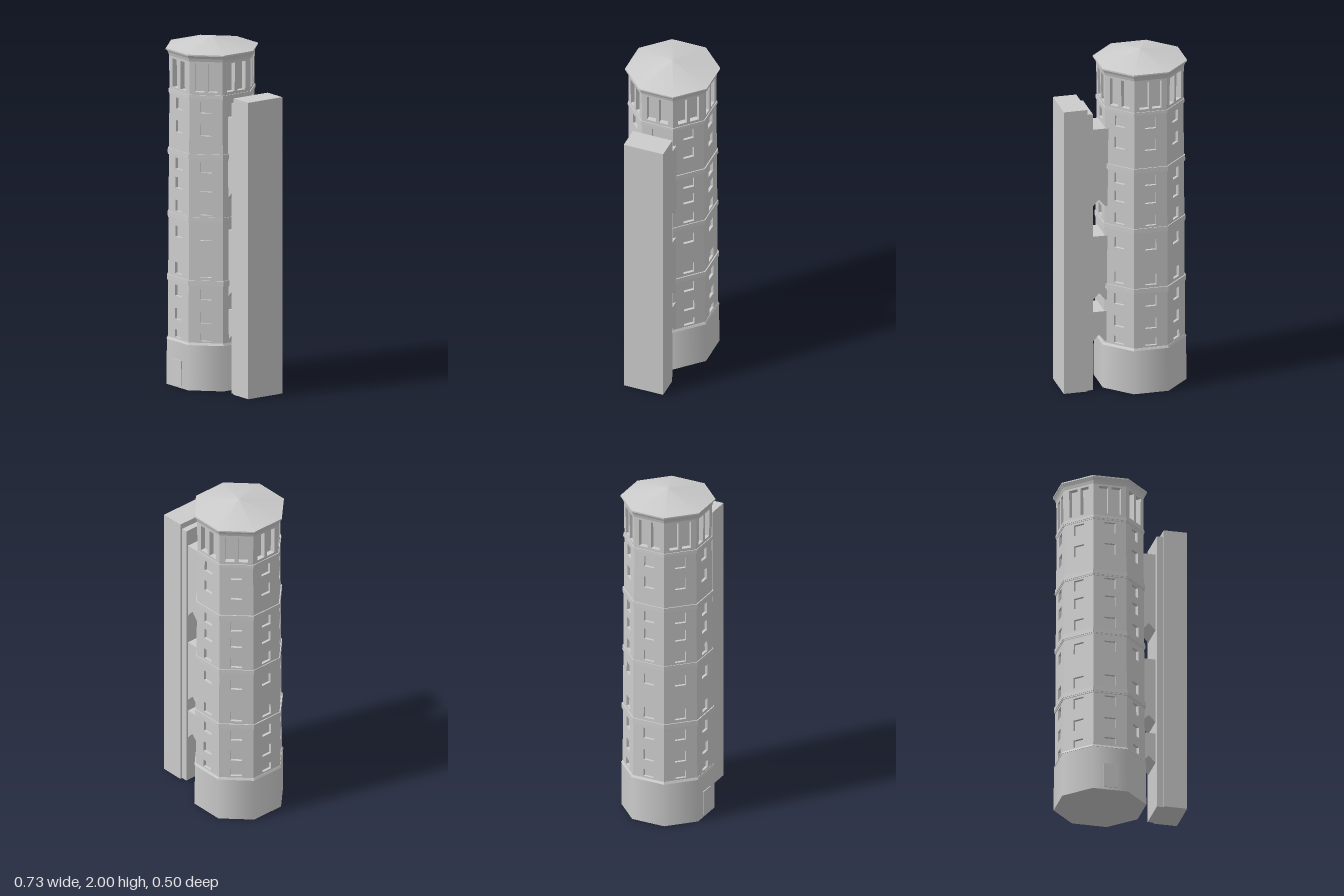
import * as THREE from 'three';

const stone = new THREE.MeshStandardMaterial({ color: 0xcccccc });
stone.name = 'pale grey stone';

const TAN = Math.tan(Math.PI / 8), COS = Math.cos(Math.PI / 8);
const CX = -0.118;

function add(parent, name, geometry) {
  const mesh = new THREE.Mesh(geometry, stone);
  mesh.name = name;
  parent.add(mesh);
  return mesh;
}

// Octagonal frustum; a0 and a1 are the flat-to-centre distances at y0 and y1
function octagon(y0, y1, a0, a1, smooth = false) {
  let g = new THREE.CylinderGeometry(a1 / COS, a0 / COS, y1 - y0, 8, 1, false, Math.PI / 8);
  if (!smooth) {
    g = g.toNonIndexed();
    g.computeVertexNormals();
  }
  return g.translate(0, (y0 + y1) / 2, 0);
}

// One tapered wall panel with rectangular openings [x, y0, y1, width]
function wallPanel(y0, y1, a0, a1, openings, depth) {
  const w0 = a0 * TAN, w1 = a1 * TAN;
  const rect = (Type, pts) => new Type(pts.map(([x, y]) => new THREE.Vector2(x, y)));
  const shape = rect(THREE.Shape, [[-w0, y0], [w0, y0], [w1, y1], [-w1, y1]]);
  for (const [x, b, t, w] of openings) {
    shape.holes.push(rect(THREE.Path, [[x - w / 2, b], [x - w / 2, t], [x + w / 2, t], [x + w / 2, b]]));
  }
  const g = new THREE.ExtrudeGeometry(shape, { depth, bevelEnabled: false });
  const p = g.attributes.position;
  for (let i = 0; i < p.count; i++) {
    const k = (p.getY(i) - y0) / (y1 - y0);
    p.setZ(i, p.getZ(i) - depth + a0 + (a1 - a0) * k);
  }
  g.computeVertexNormals();
  return g;
}

// A storey: eight panels around a recessed core
function storey(parent, name, y0, y1, a0, a1, openings, recess) {
  const group = new THREE.Group();
  group.name = name;
  parent.add(group);
  add(group, 'windowBacking', octagon(y0, y1, a0 - recess, a1 - recess));
  const panel = wallPanel(y0, y1, a0, a1, openings, recess + 0.004);
  for (let i = 0; i < 8; i++) add(group, 'wallPanel', panel).rotation.y = i * Math.PI / 4;
}

export function createModel() {
  const model = new THREE.Group();
  model.name = 'tower';
  const tower = new THREE.Group();
  tower.name = 'octagonalTower';
  tower.position.x = CX;
  model.add(tower);

  // Plinth and door
  add(tower, 'base', octagon(0, 0.262, 0.244, 0.242, true));
  add(tower, 'baseLedge', octagon(0.262, 0.275, 0.245, 0.239));
  add(tower, 'door', new THREE.BoxGeometry(0.084, 0.145, 0.008)).position.set(0, 0.087, 0.244);

  // Storeys with square windows
  const storeys = [
    [0.27, 0.61, 0.237, 0.235, [[0.285, 0.328], [0.388, 0.452], [0.523, 0.587]]],
    [0.625, 0.975, 0.235, 0.233, [[0.653, 0.718], [0.865, 0.928]]],
    [0.99, 1.34, 0.233, 0.231, [[1.013, 1.077], [1.147, 1.21], [1.257, 1.32]]],
    [1.355, 1.69, 0.231, 0.228, [[1.47, 1.537], [1.602, 1.667]]],
  ];
  for (const [y0, y1, a0, a1, rows] of storeys) {
    storey(tower, 'storey', y0, y1, a0, a1, rows.map(([b, t]) => [0, b, t, 0.064]), 0.016);
  }

  // String courses, a thin lower lip under a wider band
  for (const [y, a] of [[0.6, 0.2425], [0.965, 0.239], [1.33, 0.238], [1.68, 0.234]]) {
    const top = y > 1.6 ? 0.027 : 0.036;
    add(tower, 'bandLip', octagon(y, y + 0.008, a - 0.003, a - 0.003));
    add(tower, 'band', octagon(y + 0.008, y + top, a, a - 0.001));
  }

  // Belfry with paired tall openings
  storey(tower, 'belfry', 1.7, 1.9, 0.228, 0.23,
    [[-0.037, 1.723, 1.888, 0.054], [0.037, 1.723, 1.888, 0.054]], 0.03);

  // Flared cornice and shallow roof
  add(tower, 'corniceLower', octagon(1.9, 1.918, 0.23, 0.235));
  add(tower, 'corniceUpper', octagon(1.918, 1.935, 0.235, 0.244));
  add(tower, 'eaves', octagon(1.935, 1.943, 0.248, 0.248));
  add(tower, 'roof', octagon(1.943, 2, 0.243, 0.0005, true));

  // Side shaft
  const box = (name, x0, x1, y1, z0, z1) =>
    add(model, name, new THREE.BoxGeometry(x1 - x0, y1, z1 - z0))
      .position.set((x0 + x1) / 2, y1 / 2, (z0 + z1) / 2);
  box('shaft', 0.226, 0.363, 1.715, -0.136, 0.103);
  box('shaftBack', 0.19, 0.227, 1.68, -0.122, 0.09);

  // Bridges to the tower, each with a gabled notch below
  for (const [bottom, peak, top] of [[0.285, 0.328, 0.468], [0.538, 0.58, 0.928], [1.107, 1.152, 1.58]]) {
    const s = new THREE.Shape([[0.09, bottom], [0.113, bottom], [0.151, peak], [0.191, bottom], [0.191, top], [0.09, top]]
      .map(([x, y]) => new THREE.Vector2(x, y)));
    add(model, 'bridge', new THREE.ExtrudeGeometry(s, { depth: 0.168, bevelEnabled: false })).position.z = -0.11;
  }
  return model;
}
